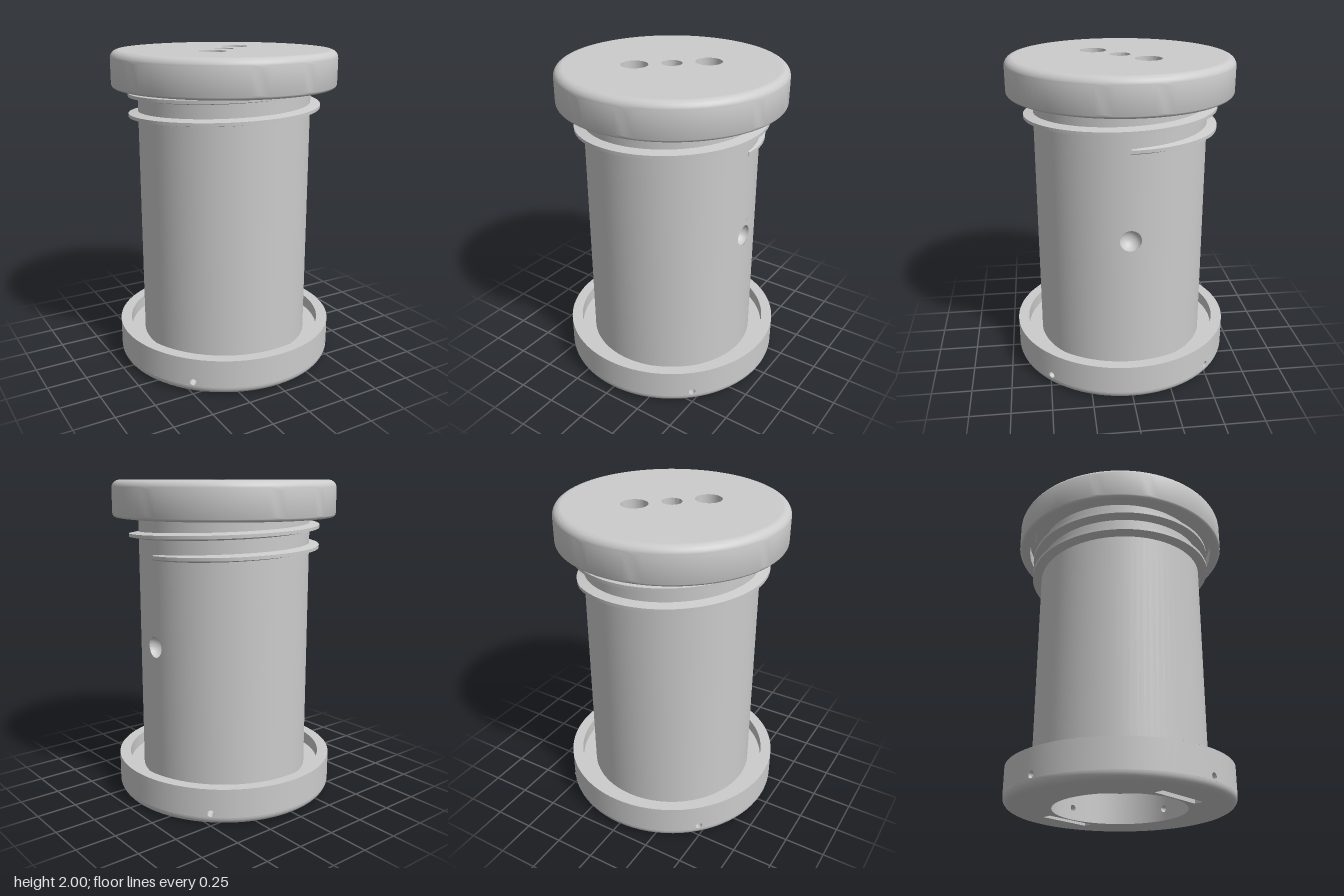
import * as THREE from 'three';
import { toCreasedNormals } from 'three/addons/utils/BufferGeometryUtils.js';
import { ParametricGeometry } from 'three/addons/geometries/ParametricGeometry.js';

const SEG = 80;
const solid = new THREE.MeshStandardMaterial({ color: 0xcccccc });
const shell = new THREE.MeshStandardMaterial({ color: 0xcccccc, side: THREE.DoubleSide });
const bore = new THREE.MeshStandardMaterial({ color: 0xcccccc, side: THREE.BackSide });

function add(parent, name, geometry, material = shell) {
  const mesh = new THREE.Mesh(geometry, material);
  mesh.name = name;
  parent.add(mesh);
  return mesh;
}

// Revolved profile with crisp corners
function lathe(points) {
  const g = new THREE.LatheGeometry(points.map(p => new THREE.Vector2(...p)), SEG);
  return toCreasedNormals(g, 0.6);
}

// Quarter-round profile points around (cx, cy)
function arc(cx, cy, r, from, to, n = 8) {
  return Array.from({ length: n + 1 }, (_, i) => {
    const a = from + (to - from) * i / n;
    return [cx + r * Math.cos(a), cy + r * Math.sin(a)];
  });
}

function circle(r, x = 0, y = 0, Type = THREE.Path) {
  return new Type().absarc(x, y, r, 0, Math.PI * 2, false);
}

// Horizontal round plate with a centre hole and two opposite holes
function plate(radius, y0, y1, angle) {
  const shape = circle(radius, 0, 0, THREE.Shape);
  shape.holes.push(circle(0.0625));
  for (const s of [1, -1]) {
    shape.holes.push(circle(0.082, s * 0.223 * Math.cos(angle), s * 0.223 * Math.sin(angle)));
  }
  const g = new THREE.ExtrudeGeometry(shape, { depth: y1 - y0, bevelEnabled: false, curveSegments: 40 });
  g.rotateX(-Math.PI / 2).translate(0, y0, 0);
  return toCreasedNormals(g, 0.6);
}

// Open cylinder wall with a round hole of radius r at each angle, at height yc;
// h is the half size of the square patch round each hole
function drilledWall(parent, name, R, y0, y1, angles, yc, r, h) {
  const group = new THREE.Group();
  group.name = name;
  parent.add(group);
  const w = h / R;
  const strip = (a, b, start, length, seg) => {
    if (b - a < 1e-4) return;
    const g = new THREE.CylinderGeometry(R, R, b - a, seg, 1, true, start, length);
    add(group, name + 'Section', g.translate(0, (a + b) / 2, 0));
  };
  angles.forEach((phi, i) => {
    const next = i + 1 < angles.length ? angles[i + 1] : angles[0] + Math.PI * 2;
    strip(y0, y1, phi + w, next - phi - 2 * w, Math.ceil(SEG / angles.length));
    strip(y0, yc - h, phi - w, 2 * w, 4);
    strip(yc + h, y1, phi - w, 2 * w, 4);
    add(group, name + 'HolePatch', new ParametricGeometry((u, v, target) => {
      const a = -u * Math.PI * 2, c = Math.cos(a), s = Math.sin(a);
      const d = r + (h / Math.max(Math.abs(c), Math.abs(s)) - r) * v;
      const t = phi + d * c / R;
      target.set(R * Math.sin(t), yc + d * s, R * Math.cos(t));
    }, 32, 3));
  });
}

// Helical ridge that fades in at its start
function threadGeometry() {
  const n = 200, turns = 2.3, position = [], index = [];
  for (let i = 0; i <= n; i++) {
    const a = turns * Math.PI * 2 * i / n;
    const y = 1.548 + 0.125 * a / (Math.PI * 2);
    const outer = 0.546 + 0.055 * Math.min(1, a / 1.0);
    for (const [rad, dy] of [[0.53, -0.024], [outer, -0.01], [outer, 0.01], [0.53, 0.024]]) {
      position.push(rad * Math.cos(a), y + dy, -rad * Math.sin(a));
    }
    if (i === n) break;
    for (let k = 0; k < 3; k++) {
      const p = i * 4 + k, q = p + 4;
      index.push(p, q, p + 1, q, q + 1, p + 1);
    }
  }
  index.push(0, 1, 2, 0, 2, 3);
  const g = new THREE.BufferGeometry();
  g.setAttribute('position', new THREE.Float32BufferAttribute(position, 3));
  g.setIndex(index);
  return toCreasedNormals(g, 0.4);
}

function createBase() {
  const base = new THREE.Group();
  base.name = 'base';
  const corners = [1, 3, 5, 7].map(k => k * Math.PI / 4);

  // Rounded foot, drilled outer wall, rim and inner channel
  add(base, 'baseRoundedEdge', lathe(arc(0.65, 0.05, 0.05, -Math.PI / 2, 0)));
  drilledWall(base, 'baseOuterWall', 0.7, 0.05, 0.23, corners, 0.075, 0.021, 0.025);
  add(base, 'baseRim', lathe([[0.7, 0.23], [0.63, 0.23], [0.63, 0.15], [0.5, 0.15]]));

  // Underside ring with two straight slots
  const ring = circle(0.65, 0, 0, THREE.Shape);
  ring.holes.push(circle(0.41));
  for (const s of [1, -1]) {
    const at = (radial, along) => new THREE.Vector2(
      (s * radial + along) * Math.SQRT1_2, (-s * radial + along) * Math.SQRT1_2);
    ring.holes.push(new THREE.Path([at(0.425, -0.18), at(0.485, -0.18), at(0.485, 0.18), at(0.425, 0.18)]));
    const slot = add(base, 'undersideSlot', new THREE.BoxGeometry(0.06, 0.08, 0.36), bore);
    slot.position.set(s * 0.455 * Math.SQRT1_2, 0.04, -s * 0.455 * Math.SQRT1_2);
    slot.rotation.y = Math.PI / 4;
  }
  add(base, 'underside', new THREE.ShapeGeometry(ring, 40).rotateX(Math.PI / 2));

  // Recess under the base and the four radial pin holes
  drilledWall(base, 'recessWall', 0.41, 0, 0.2, corners, 0.075, 0.021, 0.025);
  for (const phi of corners) {
    const g = new THREE.CylinderGeometry(0.021, 0.021, 0.29, 20, 1, true);
    g.rotateX(Math.PI / 2).translate(0, 0.075, 0.555).rotateY(phi);
    add(base, 'pinHole', g, bore);
  }
  return base;
}

function createBody() {
  const body = new THREE.Group();
  body.name = 'body';

  // Tube with one round dimple on its side
  drilledWall(body, 'bodyWall', 0.54, 0.15, 1.83, [Math.PI / 2], 1, 0.066, 0.1);
  const dimple = new THREE.SphereGeometry(0.067, 32, 16);
  dimple.rotateZ(Math.PI / 2);
  const cup = new THREE.SphereGeometry(0.067, 32, 12, 0, Math.PI * 2, 0, Math.PI / 2);
  add(body, 'sideDimple', cup.rotateZ(Math.PI / 2).translate(0.537, 1, 0), bore);

  // Hollow inside, top lip and floor
  add(body, 'bodyLining', lathe([[0.54, 1.83], [0.46, 1.83], [0.46, 0.25]]));
  add(body, 'bodyFloor', plate(0.46, 0.2, 0.25, 0.8), solid);
  add(body, 'screwThread', threadGeometry());
  return body;
}

function createCap() {
  const cap = new THREE.Group();
  cap.name = 'cap';
  // Drilled top and rounded skirt
  add(cap, 'capTop', plate(0.65, 1.85, 2, 0.74), solid);
  add(cap, 'capSkirt', lathe([
    [0.63, 1.85], [0.63, 1.775],
    ...arc(0.675, 1.8, 0.025, -Math.PI / 2, 0, 5),
    ...arc(0.65, 1.95, 0.05, 0, Math.PI / 2),
  ]));
  return cap;
}

export function createModel() {
  const model = new THREE.Group();
  model.name = 'screwTopContainer';
  model.add(createBase(), createBody(), createCap());
  return model;
}
